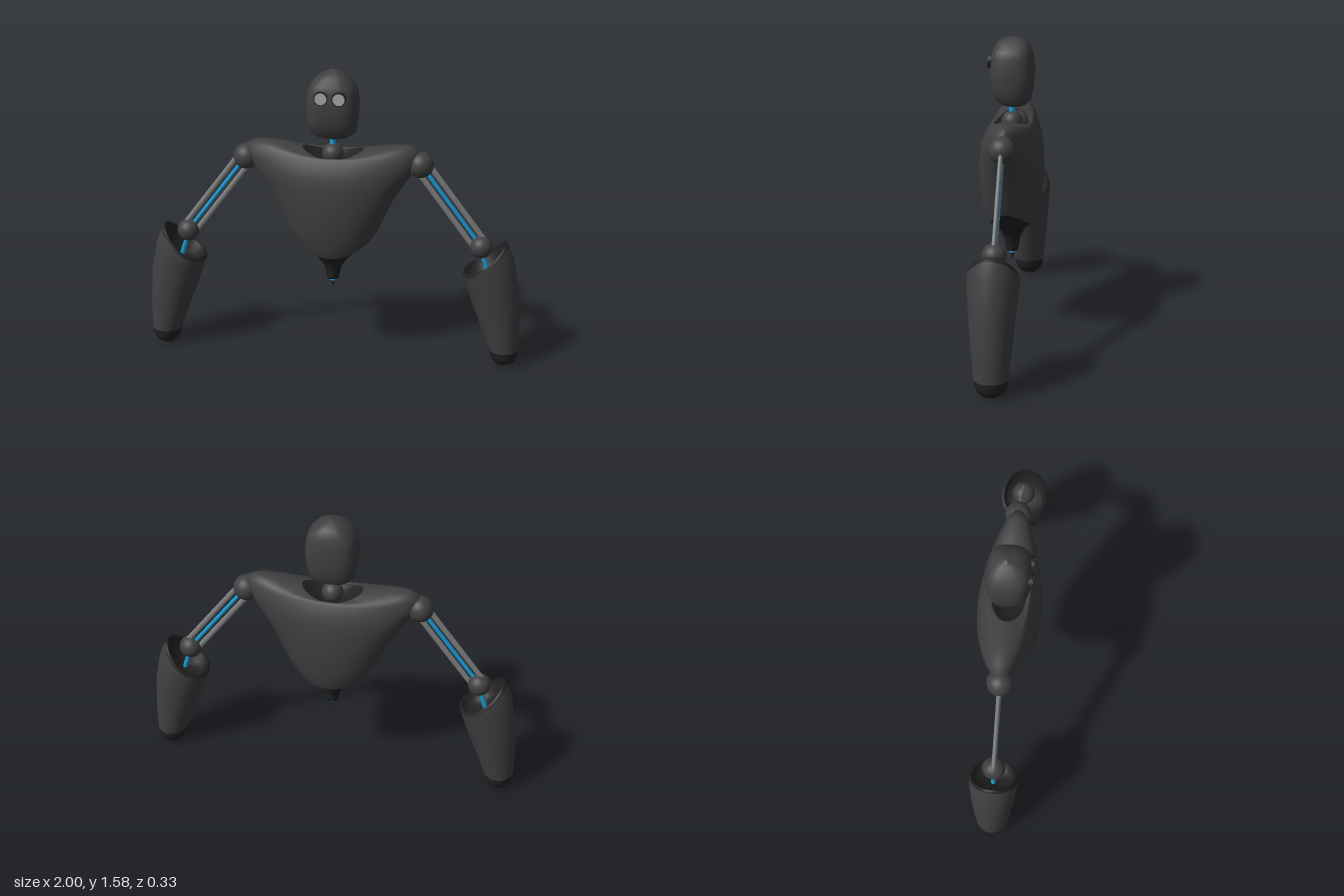
import * as THREE from 'three';

const paint = (color) => new THREE.MeshStandardMaterial({ color });
const SHELL = paint(0x404040), DARK = paint(0x222222), ROD = paint(0x7c7c7c);
const BLUE = paint(0x1a9ad0), LENS = paint(0xa8a8a8), RED = paint(0x4a1010);

function add(parent, name, geometry, material, x = 0, y = 0, z = 0) {
  const mesh = new THREE.Mesh(geometry, material);
  mesh.name = name;
  mesh.position.set(x, y, z);
  parent.add(mesh);
  return mesh;
}

// One closed cross-section: tilt slopes it along x, lift raises both x ends, pow > 1 squares it off.
function ring({ y, w, d, x = 0, z = 0, tilt = 0, lift = 0, pow = 1, n = 32 }) {
  const soft = (v) => Math.sign(v) * Math.abs(v) ** (1 / pow);
  return Array.from({ length: n }, (_, i) => {
    const a = (i / n) * Math.PI * 2;
    const c = soft(Math.cos(a)), s = soft(Math.sin(a));
    return [x + w * c, y + tilt * c + lift * c * c, z + d * s];
  });
}

// Skins rings listed from bottom to top (or onward into an opening), with optional end caps.
function loft(specs, capStart = false, capEnd = false) {
  const rings = specs.map(ring), n = rings[0].length;
  const pos = rings.flat(2), index = [];
  for (let i = 0; i < rings.length - 1; i++) {
    for (let j = 0; j < n; j++) {
      const a = i * n + j, b = i * n + (j + 1) % n;
      index.push(a, a + n, b, b, a + n, b + n);
    }
  }
  const cap = (k, up) => {
    const mid = [0, 1, 2].map((q) => rings[k].reduce((t, p) => t + p[q], 0) / n);
    const m = pos.length / 3;
    pos.push(...mid);
    for (let j = 0; j < n; j++) {
      const a = k * n + j, b = k * n + (j + 1) % n;
      index.push(m, up ? b : a, up ? a : b);
    }
  };
  if (capStart) cap(0, false);
  if (capEnd) cap(rings.length - 1, true);
  const g = new THREE.BufferGeometry();
  g.setAttribute('position', new THREE.Float32BufferAttribute(pos, 3));
  g.setIndex(index);
  g.computeVertexNormals();
  return g;
}

function buildTorso(parent) {
  const rows = (list) => list.map(([y, w, d, lift]) => ({ y, w, d, lift, n: 40 }));
  // Broad shell, saddle-shaped at the waist and shoulders
  add(parent, 'torsoShell', loft(rows([
    [0.595, 0.215, 0.122, 0.095], [0.64, 0.24, 0.138, 0.09], [0.72, 0.268, 0.156, 0.075],
    [0.85, 0.315, 0.167, 0.045], [0.97, 0.38, 0.163, 0.03], [1.04, 0.425, 0.153, 0.03],
    [1.09, 0.452, 0.133, 0.035], [1.12, 0.448, 0.115, 0.06], [1.135, 0.40, 0.105, 0.065],
    [1.14, 0.3, 0.098, 0.055], [1.13, 0.16, 0.088, 0.042],
  ])), SHELL);
  add(parent, 'neckCollar', loft(rows([
    [1.13, 0.16, 0.088, 0.042], [1.125, 0.14, 0.078, 0.04], [1.1, 0.08, 0.05, 0.01],
  ]), false, true), DARK);
  // Waist funnel under the shell
  add(parent, 'pelvis', loft(rows([
    [0.44, 0.03, 0.03, 0], [0.455, 0.034, 0.034, 0], [0.51, 0.045, 0.042, 0],
    [0.55, 0.073, 0.062, 0], [0.575, 0.11, 0.08, 0.015], [0.59, 0.165, 0.1, 0.045],
    [0.598, 0.213, 0.12, 0.095],
  ]), true), DARK);
  add(parent, 'tailSocket', new THREE.CylinderGeometry(0.017, 0.017, 0.02, 16), BLUE, 0, 0.436);
  add(parent, 'tailSpike', new THREE.CylinderGeometry(0.011, 0.006, 0.06, 12), DARK, 0, 0.425);
}

function buildHead(parent) {
  add(parent, 'neckBall', new THREE.SphereGeometry(0.055, 24, 16), SHELL, 0, 1.14);
  add(parent, 'neckRod', new THREE.CylinderGeometry(0.016, 0.016, 0.13, 16), BLUE, 0, 1.19);
  // Each row: height, half width, front z, back z
  const rows = [
    [1.222, 0.04, 0.025, -0.05], [1.235, 0.085, 0.055, -0.075], [1.26, 0.118, 0.085, -0.1],
    [1.32, 0.129, 0.106, -0.11], [1.4, 0.135, 0.114, -0.12], [1.48, 0.127, 0.109, -0.108],
    [1.515, 0.111, 0.098, -0.1], [1.552, 0.075, 0.076, -0.083], [1.576, 0.033, 0.03, -0.045],
  ];
  add(parent, 'head', loft(rows.map(([y, w, f, b]) => ({
    y, w, d: (f - b) / 2, z: (f + b) / 2, pow: 1.4, n: 24,
  })), true, true).translate(0, 0, 0), SHELL);
  add(parent, 'crown', new THREE.ConeGeometry(0.03, 0.012, 16), SHELL, 0, 1.58, -0.01);
  for (const s of [-1, 1]) {
    const barrel = new THREE.CylinderGeometry(0.036, 0.036, 0.05, 24).rotateX(Math.PI / 2);
    add(parent, 'eyeBarrel', barrel, DARK, s * 0.046, 1.462, 0.092);
    add(parent, 'eyeLens', new THREE.CircleGeometry(0.031, 24), LENS, s * 0.046, 1.462, 0.1185);
  }
}

function buildArm(parent, s) {
  const arm = new THREE.Group();
  arm.name = s > 0 ? 'leftArm' : 'rightArm';
  parent.add(arm);

  // Joints and the three parallel bars of the upper arm
  const shoulder = new THREE.Vector2(0.455, 1.1), elbow = new THREE.Vector2(0.78, 0.665);
  add(arm, 'shoulderBall', new THREE.SphereGeometry(0.068, 28, 18), SHELL, s * shoulder.x, shoulder.y);
  add(arm, 'elbowBall', new THREE.SphereGeometry(0.06, 28, 18), SHELL, s * elbow.x, elbow.y);
  const dir = elbow.clone().sub(shoulder), mid = shoulder.clone().add(elbow).multiplyScalar(0.5);
  const length = dir.length();
  const bars = new THREE.Group();
  bars.name = 'upperArm';
  bars.position.set(s * mid.x, mid.y, 0);
  bars.rotation.z = s * Math.atan2(dir.x, -dir.y);
  arm.add(bars);
  for (const k of [-1, 1]) {
    const bar = new THREE.CylinderGeometry(0.015, 0.015, length, 14).scale(1, 1, 0.75);
    add(bars, 'armBar', bar, ROD, k * 0.035);
  }
  add(bars, 'armPiston', new THREE.CylinderGeometry(0.011, 0.011, length, 12), BLUE);

  // Forearm rows: inner x and y, outer x and y, half depth, sag at front and back
  const rows = (list) => list.map(([xi, yi, xo, yo, d, sag = 0]) => ({
    x: s * (xi + xo) / 2, w: (xo - xi) / 2, d,
    y: (yi + yo) / 2 - sag, tilt: s * (yo - yi) / 2, lift: sag,
  }));
  add(arm, 'forearmShell', loft(rows([
    [0.838, 0.09, 0.998, 0.09, 0.085], [0.79, 0.22, 0.998, 0.25, 0.1],
    [0.737, 0.36, 0.985, 0.44, 0.116], [0.698, 0.475, 0.953, 0.605, 0.126, 0.02],
    [0.686, 0.51, 0.92, 0.68, 0.127, 0.03],
  ])), SHELL);
  // Dark rim turning into the sleeve opening
  add(arm, 'forearmRim', loft(rows([
    [0.686, 0.51, 0.92, 0.68, 0.127, 0.03], [0.69, 0.53, 0.911, 0.7, 0.12, 0.032],
    [0.705, 0.528, 0.9, 0.685, 0.107, 0.03], [0.73, 0.48, 0.905, 0.57, 0.095, 0.01],
  ]), false, true), DARK);
  const stub = add(arm, 'wristRod', new THREE.CylinderGeometry(0.013, 0.013, 0.14, 12), BLUE, s * 0.802, 0.58);
  stub.rotation.z = s * 0.3;
  // Rounded tip with a small emitter underneath
  add(arm, 'forearmTip', loft(rows([
    [0.875, 0.012, 0.955, 0.008, 0.045], [0.858, 0.03, 0.98, 0.025, 0.068],
    [0.843, 0.06, 0.993, 0.055, 0.08], [0.838, 0.092, 0.997, 0.092, 0.084],
  ]), true), DARK);
  add(arm, 'tipEmitter', new THREE.CylinderGeometry(0.033, 0.033, 0.012, 20), RED, s * 0.915, 0.008);
}

export function createModel() {
  const model = new THREE.Group();
  model.name = 'robotBust';
  buildTorso(model);
  buildHead(model);
  for (const s of [-1, 1]) buildArm(model, s);
  return model;
}
